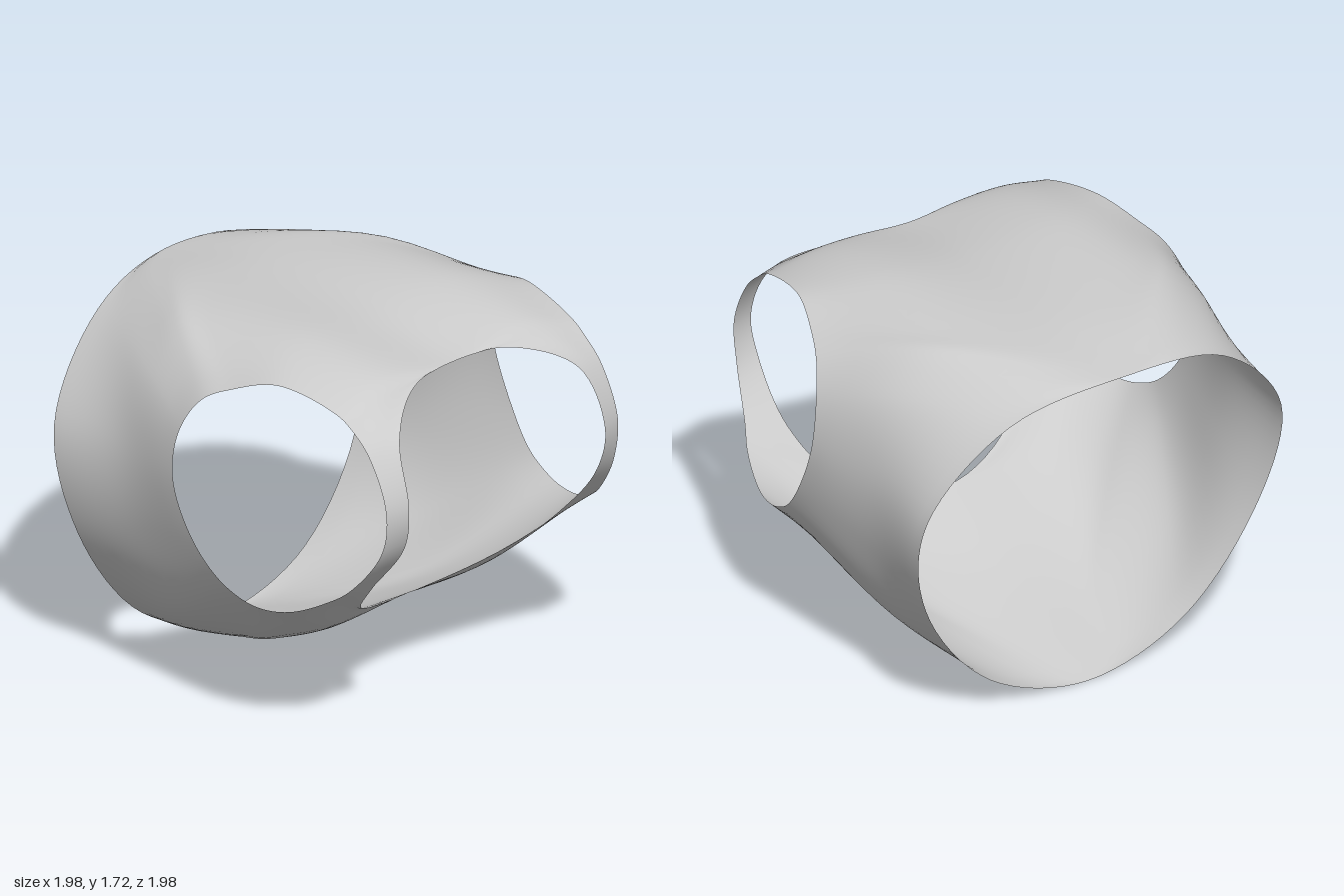
import * as THREE from 'three';
import { mergeVertices } from 'three/addons/utils/BufferGeometryUtils.js';

const v = (x, y, z) => new THREE.Vector3(x, y, z);

// Each rib of the left half runs from the armhole rim to the outer rim
// (centre line, waist opening or neck opening). Corner ribs are shared.
const neckTop = [v(.72, 1.575, .67), v(.45, 1.645, .62), v(0, 1.6, .67)];
const waistTop = [v(.9, 1.51, .04), v(.6, 1.67, -.42), v(0, 1.64, -.99)];
const waistBottom = [v(.93, .665, .34), v(.5, .24, -.08), v(0, 0, -.71)];
const neckBottom = [v(.87, .67, .56), v(.5, .43, .4), v(0, .43, .39)];

const upperPanel = [
  neckTop,
  [v(.77, 1.635, .37), v(.45, 1.715, .2), v(0, 1.685, .15)],
  [v(.84, 1.58, .17), v(.5, 1.7, -.3), v(0, 1.695, -.5)],
  waistTop,
];
const sidePanel = [
  waistTop,
  [v(.955, 1.36, -.04), v(.8, 1.48, -.42), v(.55, 1.53, -.92)],
  [v(.985, 1.15, -.05), v(.9, 1.16, -.45), v(.91, 1.13, -.83)],
  [v(.982, .91, .05), v(.89, .77, -.37), v(.86, .64, -.74)],
  [v(.955, .74, .19), v(.74, .37, -.28), v(.5, .16, -.705)],
  waistBottom,
];
const lowerPanel = [
  waistBottom,
  [v(.905, .652, .45), v(.5, .33, .2), v(0, .23, .02)],
  neckBottom,
];
const strap = [
  neckBottom,
  [v(.82, .73, .69), v(.45, .555, .555)],
  [v(.765, .8, .79), v(.575, .74, .74)],
  [v(.712, 1, .93), v(.59, 1, .95)],
  [v(.71, 1.2, .955), v(.6, 1.2, .985)],
  [v(.71, 1.42, .86), v(.55, 1.46, .88)],
  [v(.712, 1.52, .76), v(.52, 1.575, .735), v(.3, 1.585, .72)],
  neckTop,
];
const panels = [upperPanel, sidePanel, lowerPanel, strap];

const ACROSS = 14, PER_RIB = 8;

// Smooth rib; ribs ending on the centre line continue into their mirror image
function sampleRib(rib) {
  const toCentre = rib.at(-1).x === 0;
  const mirrored = toCentre ? rib.slice(0, -1).reverse().map(p => v(-p.x, p.y, p.z)) : [];
  const curve = new THREE.CatmullRomCurve3([...rib, ...mirrored]);
  const points = [];
  for (let j = 0; j <= ACROSS; j++) points.push(curve.getPointAt(j / ACROSS * (toCentre ? .5 : 1)));
  points[ACROSS].copy(rib.at(-1));
  return points;
}

// Guide rib beyond a corner: follows the next panel at the armhole and, at the
// outer rim, the mirrored rim (or a straight run along the centre line)
function guideRib(neighbour, corner, inside) {
  const onCentre = inside[ACROSS].x === 0;
  return corner.map((p, j) => {
    const q = inside[j];
    const beyond = p.clone().multiplyScalar(2).sub(q);
    if (!onCentre) beyond.set(beyond.x, q.y, q.z);
    return neighbour[j].clone().lerp(beyond, (j / ACROSS) ** 3);
  });
}

// Skin a panel through its ribs; side is 1 for left, -1 for right
function addPanel(k, side, position, index) {
  const [before, ribs, after] = [3, 0, 1].map(d => panels[(k + d) % 4].map(sampleRib));
  const guided = [
    guideRib(before.at(-2), ribs[0], ribs[1]),
    ...ribs,
    guideRib(after[1], ribs.at(-1), ribs.at(-2)),
  ];
  const columns = ribs[0].map((_, j) => new THREE.CatmullRomCurve3(guided.map(r => r[j])));
  const spans = ribs.length - 1, steps = spans * PER_RIB;
  const base = position.length / 3;
  const width = ACROSS + 1;
  for (let i = 0; i <= steps; i++) {
    for (const column of columns) {
      const p = column.getPoint((1 + i / PER_RIB) / (spans + 2));
      position.push(side * p.x, p.y, p.z);
    }
  }
  for (let i = 0; i < steps; i++) {
    for (let j = 0; j < ACROSS; j++) {
      const a = base + i * width + j, b = a + width, c = a + 1, d = b + 1;
      if (side > 0) index.push(a, b, c, b, d, c);
      else index.push(a, c, b, b, c, d);
    }
  }
}

export function createModel() {
  const position = [], index = [];
  for (const side of [1, -1]) panels.forEach((_, k) => addPanel(k, side, position, index));

  // Weld panels and halves into one continuous sheet of cloth
  const sheet = new THREE.BufferGeometry();
  sheet.setAttribute('position', new THREE.Float32BufferAttribute(position, 3));
  sheet.setIndex(index);
  const geometry = mergeVertices(sheet, 1e-4);
  geometry.computeVertexNormals();

  const cloth = new THREE.MeshStandardMaterial({ color: 0xcccccc, side: THREE.DoubleSide });
  const vest = new THREE.Mesh(geometry, cloth);
  vest.name = 'vest';

  const group = new THREE.Group();
  group.name = 'sleevelessVest';
  group.add(vest);
  return group;
}
